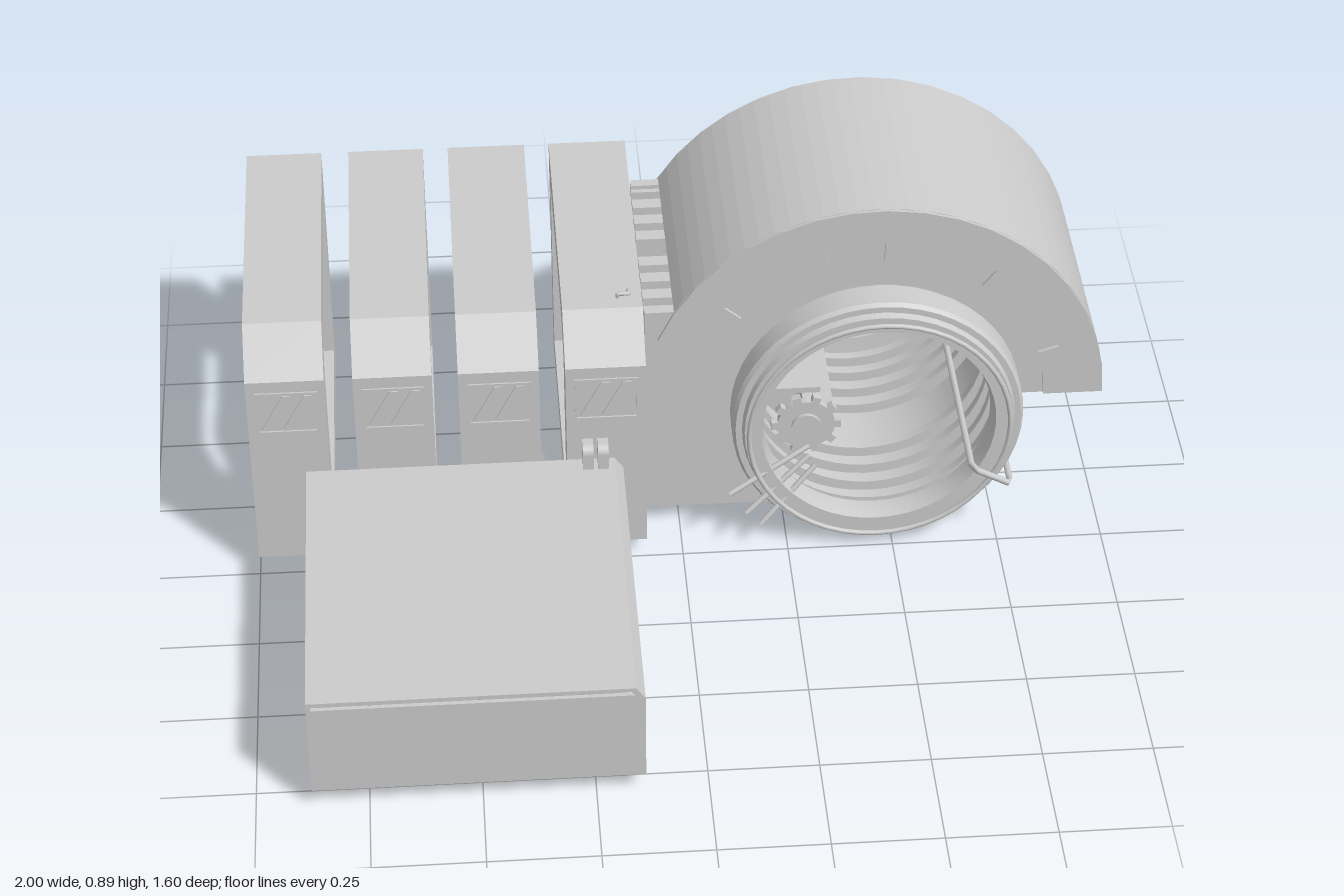
import * as THREE from 'three';
import { toCreasedNormals } from 'three/addons/utils/BufferGeometryUtils.js';

const grey = new THREE.MeshStandardMaterial({ color: 0xcccccc, side: THREE.DoubleSide });
const CX = 0.46, CY = 0.345; // drum axis
const deg = Math.PI / 180;
const v3 = (x, y, z) => new THREE.Vector3(x, y, z);

export function createModel() {
  const model = new THREE.Group();
  const add = (name, geo, parent = model) => {
    const m = new THREE.Mesh(geo, grey);
    m.name = name;
    parent.add(m);
    return m;
  };
  // Box given by its limits on each axis
  const box = (name, x0, x1, y0, y1, z0, z1, parent) =>
    add(name, new THREE.BoxGeometry(x1 - x0, y1 - y0, z1 - z0)
      .translate((x0 + x1) / 2, (y0 + y1) / 2, (z0 + z1) / 2), parent);
  // Shape in the xy plane, extruded between two z limits
  const slab = (name, shape, z0, z1, parent, curveSegments = 18) =>
    add(name, new THREE.ExtrudeGeometry(shape, { depth: z1 - z0, bevelEnabled: false, curveSegments })
      .translate(0, 0, z0), parent);
  const poly = pts => new THREE.Shape(pts.map(p => new THREE.Vector2(...p)));
  const tube = (name, pts, r, closed = false, parent = model) =>
    add(name, new THREE.TubeGeometry(new THREE.CatmullRomCurve3(pts, closed, 'catmullrom', 0.1), 64, r, 8, closed), parent);
  const rod = (name, a, b, r, parent) =>
    add(name, new THREE.TubeGeometry(new THREE.LineCurve3(a, b), 1, r, 8), parent);

  // Four hollow cabinets, profile in the zy plane
  const cabinet = poly([[-0.785, 0.05], [-0.005, 0.05], [-0.005, 0.565], [-0.105, 0.66], [-0.785, 0.66]]);
  cabinet.holes.push(new THREE.Path([[-0.72, 0.11], [-0.72, 0.59], [-0.15, 0.59], [-0.09, 0.53], [-0.09, 0.11]]
    .map(p => new THREE.Vector2(...p))));
  for (const [x0, x1] of [[-1, -0.82], [-0.755, -0.575], [-0.515, -0.33], [-0.27, -0.085]]) {
    const g = new THREE.Group();
    g.name = 'cabinet';
    model.add(g);
    const w = x1 - x0;
    add('cabinetFrame', new THREE.ExtrudeGeometry(cabinet, { depth: w, bevelEnabled: false })
      .rotateY(-Math.PI / 2).translate(x1, 0, 0), g).geometry.computeVertexNormals();
    // Window outline and two slanted glints
    const l = x0 + 0.02, r = x1 - 0.018;
    const win = poly([[l, 0.42], [r, 0.42], [r, 0.535], [l, 0.535]]);
    win.holes.push(poly([[l + 0.005, 0.425], [l + 0.005, 0.53], [r - 0.005, 0.53], [r - 0.005, 0.425]]));
    slab('windowFrame', win, -0.005, -0.001, g);
    for (const s of [0.012, 0.062])
      slab('windowGlint', poly([[l + s, 0.432], [l + s + 0.02, 0.432], [l + s + 0.07, 0.525], [l + s + 0.05, 0.525]]),
        -0.005, -0.002, g);
  }

  // Hollow table, open underneath
  slab('tableShell', poly([[-0.875, 0.05], [-0.865, 0.05], [-0.865, 0.295], [-0.17, 0.295], [-0.15, 0.265],
    [-0.15, 0.05], [-0.14, 0.05], [-0.14, 0.275], [-0.16, 0.305], [-0.875, 0.305]]), 0, 0.8);
  box('tableFrontWall', -0.87, -0.145, 0.05, 0.285, 0.79, 0.8);

  // Twin rounded lugs on the table, and a small hook on the last cabinet
  for (const x of [-0.235, -0.2]) {
    const lug = new THREE.Shape().moveTo(0, 0.3).lineTo(0.04, 0.3).lineTo(0.04, 0.345)
      .absarc(0.02, 0.345, 0.02, 0, Math.PI / 2).lineTo(0, 0.365);
    add('lug', new THREE.ExtrudeGeometry(lug, { depth: 0.025, bevelEnabled: false, curveSegments: 6 })
      .rotateY(-Math.PI / 2).translate(x + 0.025, 0, 0));
  }
  tube('hook', [v3(-0.14, 0.66, -0.145), v3(-0.14, 0.67, -0.145), v3(-0.115, 0.67, -0.145), v3(-0.115, 0.67, -0.16)], 0.005);

  // Side plates of the housing with the drum cut out
  const R = 0.545, FX = 0.455, end = 149 * deg;
  const plate = new THREE.Shape().moveTo(-0.08, 0.05).lineTo(0.3, 0.05)
    .absarc(CX, CY, 0.335, 241.7 * deg, 0, true).lineTo(FX + R, CY)
    .absarc(FX, CY, R, 0, end, false).lineTo(-0.08, 0.625);
  slab('housingSide', plate, -0.15, -0.125);
  slab('housingSide', plate, -0.665, -0.64);

  // Curved cover over the drum
  const cover = new THREE.Shape().moveTo(CX + 0.345, CY).lineTo(FX + R, CY)
    .absarc(FX, CY, R, 0, end, false).absarc(CX, CY, 0.345, end, 0, true);
  slab('drumCover', cover, -0.64, -0.15);

  // Raised side trim with a toothed inner edge
  const teeth = [], n = 9, span = 158 * deg;
  for (let i = 0; i < n; i++) {
    const r = i % 2 ? 0.455 : 0.405;
    for (const t of [0, 0.5, 1]) {
      const a = span * (i + t) / n;
      teeth.push([FX + r * Math.cos(a), CY + r * Math.sin(a)]);
    }
  }
  for (let i = 18; i >= 0; i--) {
    const a = span * i / 18;
    teeth.push([FX + R * Math.cos(a), CY + R * Math.sin(a)]);
  }
  slab('toothedTrim', poly(teeth), -0.125, -0.117);
  slab('toothedTrim', poly(teeth), -0.673, -0.665);

  // Slats closing the housing, above and below
  for (const z of [-0.15, -0.215, -0.28, -0.345, -0.45, -0.515, -0.58, -0.645]) {
    box('topSlat', -0.08, 0.03, 0.595, 0.615, z - 0.018, z + 0.018);
    box('floorSlat', -0.08, 0.28, 0.052, 0.072, z - 0.018, z + 0.018);
  }
  box('housingInnerFloor', -0.08, 0.19, 0.09, 0.1, -0.64, -0.15);

  // Ribbed drum shell: outer skin towards +z, inner skin back
  const prof = [[0.275, -0.77], [0.315, -0.77], [0.32, -0.755], [0.335, -0.755], [0.342, -0.745]];
  const grooves = [-0.67, -0.61, -0.545, -0.48, -0.31, -0.245, -0.18, -0.12];
  for (const z of grooves) prof.push([0.342, z - 0.012], [0.328, z - 0.011], [0.328, z + 0.011], [0.342, z + 0.012]);
  prof.push([0.342, -0.045], [0.335, -0.035], [0.32, -0.035], [0.315, -0.02], [0.275, -0.02], [0.268, -0.05], [0.268, -0.075], [0.31, -0.08]);
  for (const z of [...grooves].reverse()) prof.push([0.31, z + 0.012], [0.285, z + 0.011], [0.285, z - 0.011], [0.31, z - 0.012]);
  prof.push([0.31, -0.715], [0.268, -0.72], [0.268, -0.745], [0.275, -0.77]);
  const drum = new THREE.LatheGeometry(prof.map(p => new THREE.Vector2(...p)), 48).rotateX(Math.PI / 2);
  add('ribbedDrum', toCreasedNormals(drum, 0.5)).position.set(CX, CY, 0);

  // Thin hoops in front of both drum rims
  for (const z of [-0.002, -0.788])
    add('rimHoop', new THREE.TorusGeometry(0.306, 0.006, 8, 48)).position.set(CX, CY, z);

  // Closed loop bar running through and around the drum wall
  const ca = Math.cos(-28 * deg), sa = Math.sin(-28 * deg);
  const at = (r, z) => v3(CX + r * ca, CY + r * sa, z);
  tube('loopBar', [at(0.25, -0.01), at(0.265, 0.006), at(0.34, 0.006), at(0.355, -0.01),
    at(0.355, -0.776), at(0.34, -0.792), at(0.265, -0.792), at(0.25, -0.776)], 0.008, true);

  // Drive unit inside the drum
  const mid = new THREE.Shape().moveTo(0.33, 0.08).lineTo(0.33, 0.612)
    .absarc(CX, CY, 0.3, 116 * deg, 242 * deg, false);
  slab('innerBulkhead', mid, -0.42, -0.37);
  box('driveHousing', 0.29, 0.36, 0.27, 0.36, -0.7, -0.09);
  box('driveBracket', 0.2, 0.33, 0.385, 0.4, -0.68, -0.11);
  for (const z of [-0.085, -0.705]) {
    const g = new THREE.Group();
    g.name = 'gear';
    g.position.set(0.295, 0.315, z);
    model.add(g);
    add('gearDisc', new THREE.CylinderGeometry(0.068, 0.068, 0.018, 24).rotateX(Math.PI / 2), g);
    add('gearHub', new THREE.CylinderGeometry(0.035, 0.035, 0.035, 16).rotateX(Math.PI / 2), g);
    for (let i = 0; i < 10; i++)
      add('gearTooth', new THREE.BoxGeometry(0.02, 0.02, 0.018).translate(0.072, 0, 0).rotateZ(i * 36 * deg), g);
  }

  // Slanted rods reaching out over the front rim
  for (const [x0, y0, x1, y1] of [[0.11, 0.175, 0.3, 0.275], [0.15, 0.115, 0.3, 0.245], [0.185, 0.08, 0.315, 0.215]])
    rod('slantedRod', v3(x0, y0, -0.005), v3(x1, y1, -0.05), 0.007);

  return model;
}
